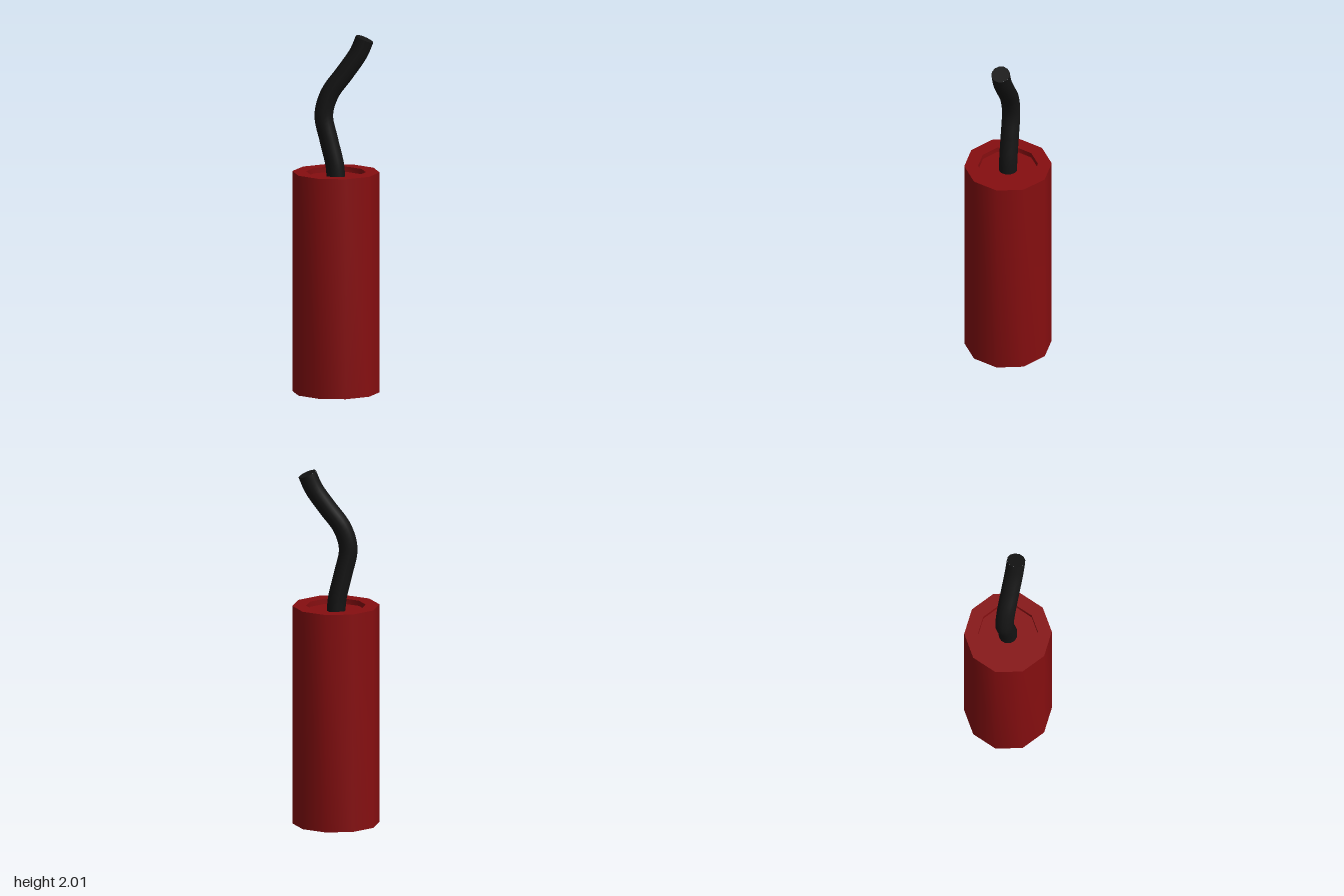
import * as THREE from 'three';
import { toCreasedNormals } from 'three/addons/utils/BufferGeometryUtils.js';

export function createModel() {
  const group = new THREE.Group();
  const red = new THREE.MeshStandardMaterial({ color: 0x860e10 });
  const black = new THREE.MeshStandardMaterial({ color: 0x141414 });

  const add = (name, geometry, material, parent = group) => {
    const mesh = new THREE.Mesh(geometry, material);
    mesh.name = name;
    parent.add(mesh);
    return mesh;
  };

  // Ten-sided stick with a shallow recess in its top
  const profile = [[0, 0], [0.243, 0], [0.243, 1.24], [0.158 / Math.cos(Math.PI / 10), 1.24],
    [0.158 / Math.cos(Math.PI / 10), 1.21], [0, 1.21]].map(([r, y]) => new THREE.Vector2(r, y));
  const body = new THREE.LatheGeometry(profile, 10, Math.PI / 2);
  add('stick', toCreasedNormals(body, 0.9), red);

  // Bent fuse rising from the recess
  const fuse = new THREE.Group();
  fuse.name = 'fuse';
  group.add(fuse);
  const radius = 0.052;
  const path = new THREE.CatmullRomCurve3([
    [0, 1.2], [-0.007, 1.28], [-0.04, 1.42], [-0.068, 1.56],
    [-0.035, 1.68], [0.05, 1.8], [0.125, 1.91], [0.16, 1.992],
  ].map(([x, y]) => new THREE.Vector3(x, y, 0)));
  add('fuseCord', new THREE.TubeGeometry(path, 32, radius, 12), black, fuse);

  // Flat cut end of the fuse, square to the cord
  const tip = add('fuseTip', new THREE.CircleGeometry(radius, 12), black, fuse);
  tip.position.copy(path.getPoint(1));
  tip.quaternion.setFromUnitVectors(new THREE.Vector3(0, 0, 1), path.getTangent(1));

  return group;
}
